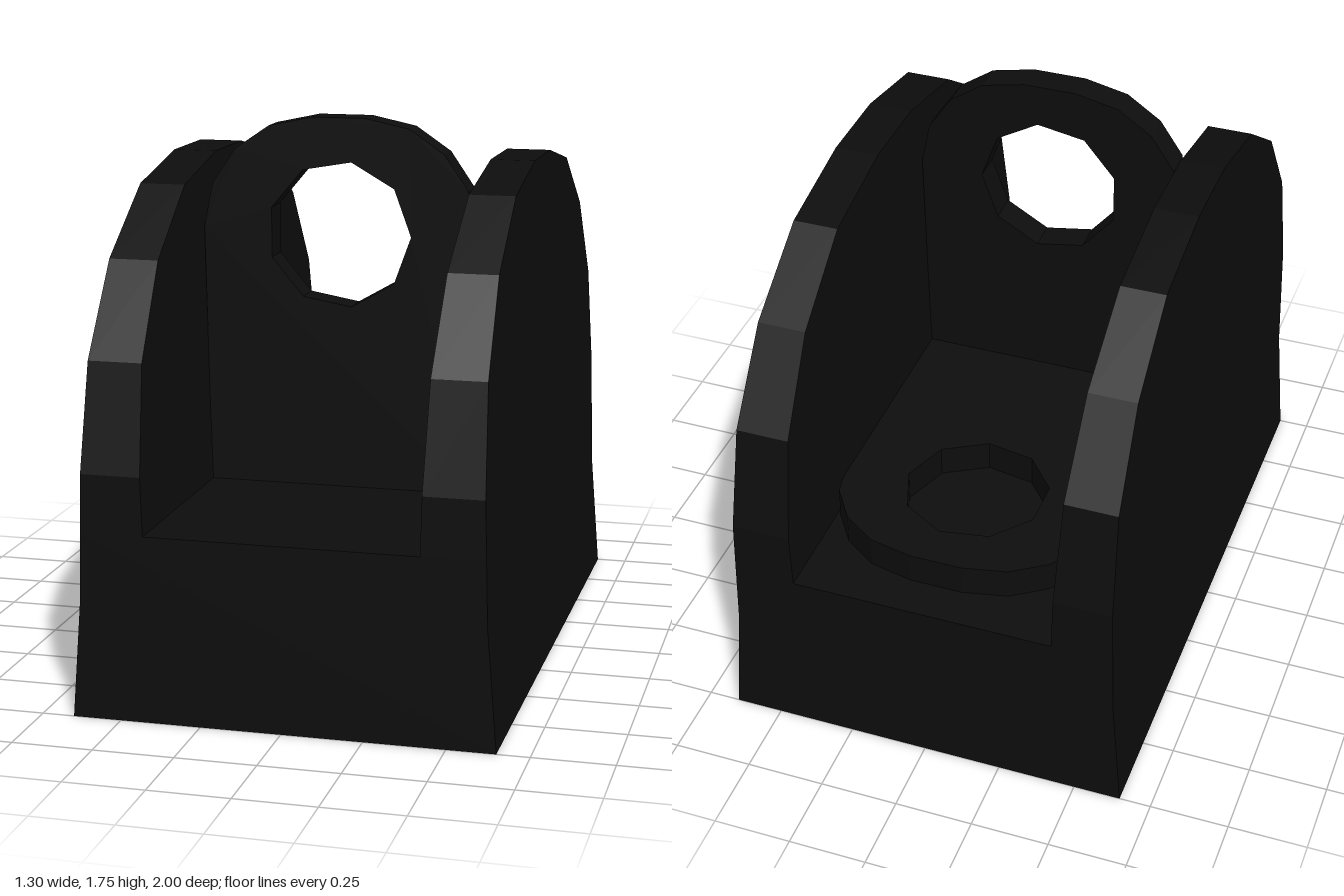
import * as THREE from 'three';

const FLOOR = 0.58, TOP = 1.62;

const toShape = (pts) => new THREE.Shape(pts.map(([x, y]) => new THREE.Vector2(x, y)));

// Mirrors a half outline (given from bottom right up to the top) into a closed one
const mirrored = (half) => [...half, ...half.slice().reverse().map(([x, y]) => [-x, y])];

function extrude(shape, depth) {
  return new THREE.ExtrudeGeometry(shape, { depth, bevelEnabled: false });
}

// Arched side wall: the profile is extruded to unit depth, then tapered with height
function sidePanelGeometry() {
  const profile = mirrored([[1, FLOOR], [1, 0.76], [0.935, 1.09], [0.75, 1.365], [0.47, 1.555], [0.14, TOP]]);
  const geometry = extrude(toShape(profile), 1);
  const p = geometry.attributes.position;
  for (let i = 0; i < p.count; i++) {
    const s = p.getX(i), y = p.getY(i), t = p.getZ(i);
    const h = (y - FLOOR) / (TOP - FLOOR);
    const inner = THREE.MathUtils.lerp(0.42, 0.448, h);
    const outer = THREE.MathUtils.lerp(0.615, 0.588, h);
    p.setXYZ(i, THREE.MathUtils.lerp(inner, outer, t), y, -s);
  }
  geometry.computeVertexNormals();
  return geometry;
}

// Rounded board with a nine-sided hole, standing on y = 0
function boardGeometry(bottom) {
  const outline = mirrored([[0.422, bottom], [0.438, 0.82], [0.41, 0.96], [0.335, 1.07], [0.225, 1.145], [0.085, 1.175]]);
  const shape = toShape(outline);
  const hole = new THREE.Path();
  for (let i = 0; i < 9; i++) {
    const a = (-i / 9) * Math.PI * 2;
    const x = 0.231 * Math.cos(a), y = 0.81 + 0.231 * Math.sin(a);
    if (i === 0) hole.moveTo(x, y);
    else hole.lineTo(x, y);
  }
  hole.closePath();
  shape.holes.push(hole);
  return extrude(shape, 0.1);
}

export function createModel() {
  const model = new THREE.Group();
  const black = new THREE.MeshStandardMaterial({ color: 0x0d0d0d, flatShading: true });
  black.name = 'black';

  const add = (name, geometry) => {
    const mesh = new THREE.Mesh(geometry, black);
    mesh.name = name;
    model.add(mesh);
    return mesh;
  };

  // Solid base, flared towards the ground
  const base = extrude(toShape(mirrored([[0.65, 0], [0.62, 0.38], [0.615, FLOOR]])), 2);
  base.translate(0, 0, -1);
  add('base', base);

  // Pair of side walls
  const panel = sidePanelGeometry();
  add('leftPanel', panel);
  add('rightPanel', panel).rotation.y = Math.PI;

  // Upright board across the middle
  add('uprightBoard', boardGeometry(0)).position.set(0, FLOOR, 0.2);

  // Matching board lying flat towards the back
  const flat = add('flatBoard', boardGeometry(0.11));
  flat.rotation.x = -Math.PI / 2;
  flat.position.set(0, FLOOR, 0.31);

  return model;
}
